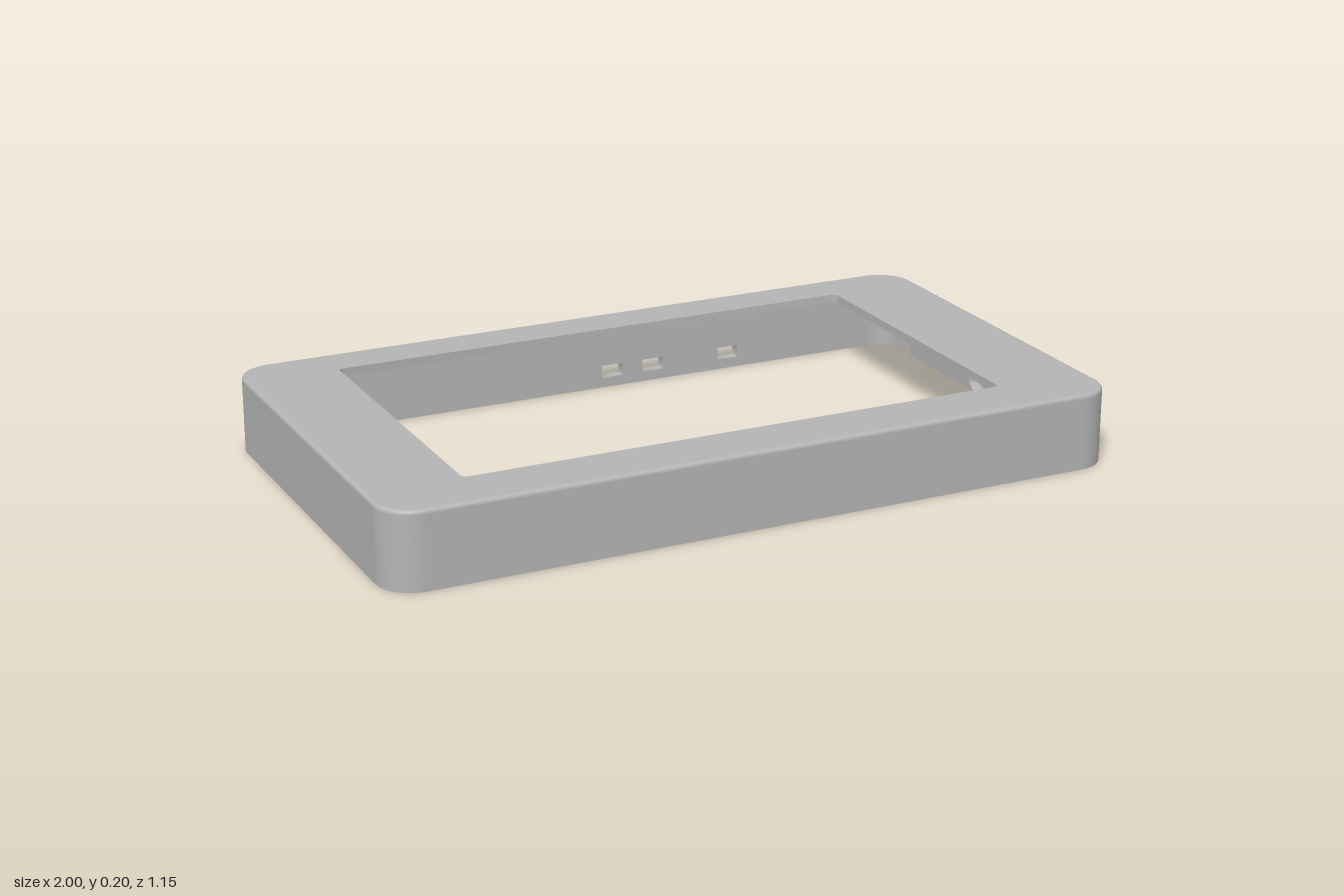
import * as THREE from 'three';
import { toCreasedNormals } from 'three/addons/utils/BufferGeometryUtils.js';

const W = 1, D = 0.575, H = 0.205;      // half width, half depth, height
const R = 0.095, T = 0.03, F = 0.01;    // corner radius, wall thickness, top edge fillet
const PLATE = 0.022;                    // thickness of the top face

// Rounded rectangle between two corners
function roundRect(x0, y0, x1, y1, r, path = new THREE.Shape()) {
  const q = Math.PI / 2;
  path.moveTo(x1, y0 + r);
  path.absarc(x1 - r, y1 - r, r, 0, q);
  path.absarc(x0 + r, y1 - r, r, q, 2 * q);
  path.absarc(x0 + r, y0 + r, r, 2 * q, 3 * q);
  path.absarc(x1 - r, y0 + r, r, 3 * q, 4 * q);
  return path;
}

function extrude(shape, depth) {
  const g = new THREE.ExtrudeGeometry(shape, { depth, bevelEnabled: false, curveSegments: 14 });
  return toCreasedNormals(g, 0.6);
}

// Straight wall outline; an optional round notch opens through its lower edge
function wallShape(half, notch) {
  const s = new THREE.Shape();
  s.moveTo(-half, 0);
  if (notch) {
    const a = Math.asin(notch.y / notch.r);
    s.lineTo(notch.u - notch.r * Math.cos(a), 0);
    s.absarc(notch.u, notch.y, notch.r, Math.PI + a, -a, true);
  }
  s.lineTo(half, 0);
  s.lineTo(half, H - F);
  s.lineTo(-half, H - F);
  s.closePath();
  return s;
}

// Rounded strip joining the outer walls to the top face
function filletGeometry() {
  const steps = 5, pos = [], idx = [];
  let n = 0;
  for (let i = 0; i <= steps; i++) {
    const a = (i / steps) * Math.PI / 2;
    const inset = F * (1 - Math.cos(a)), y = H - F + F * Math.sin(a);
    const pts = roundRect(-W + inset, -D + inset, W - inset, D - inset, R - inset).getPoints(14);
    n = pts.length;
    pts.forEach(p => pos.push(p.x, y, -p.y));
  }
  for (let i = 0; i < steps; i++) {
    for (let j = 0; j < n; j++) {
      const a = i * n + j, b = i * n + (j + 1) % n;
      idx.push(a, b, b + n, a, b + n, a + n);
    }
  }
  const g = new THREE.BufferGeometry();
  g.setAttribute('position', new THREE.Float32BufferAttribute(pos, 3));
  g.setIndex(idx);
  return toCreasedNormals(g, 0.6);
}

export function createModel() {
  const model = new THREE.Group();
  model.name = 'displayCase';
  const grey = new THREE.MeshStandardMaterial({ color: 0xb4b4b4 });
  grey.name = 'grey plastic';
  const add = (name, geometry) => {
    const mesh = new THREE.Mesh(geometry, grey);
    mesh.name = name;
    model.add(mesh);
    return mesh;
  };

  // Top face with the screen window
  const top = roundRect(-W + F, -D + F, W - F, D - F, R - F);
  top.holes.push(roundRect(-0.75, -0.42, 0.74, 0.45, 0.015, new THREE.Path()));
  add('topFace', extrude(top, PLATE).rotateX(-Math.PI / 2).translate(0, H - PLATE, 0));
  add('topEdge', filletGeometry());

  // Side walls: u runs to the right as seen from outside
  const addWall = (name, shape, distance, angle) =>
    add(name, extrude(shape, T).translate(0, 0, distance - T).rotateY(angle));
  addWall('frontWall', wallShape(W - R), D, 0);
  addWall('leftWall', (() => {
    const s = wallShape(D - R, { u: 0.455, y: 0.022, r: 0.045 });
    s.holes.push(roundRect(-0.48, 0.034, -0.29, 0.058, 0.001, new THREE.Path()));  // card slot
    s.holes.push(roundRect(-0.06, 0.003, 0.09, 0.063, 0.029, new THREE.Path()));   // port
    return s;
  })(), W, Math.PI / 2);
  addWall('rightWall', wallShape(D - R), W, -Math.PI / 2);

  // Back wall with three button openings
  const back = wallShape(W - R);
  for (const x of [0.085, 0.21, 0.445]) {
    back.holes.push(roundRect(-x - 0.031, 0.028, -x + 0.031, 0.063, 0.002, new THREE.Path()));
  }
  addWall('backWall', back, D, Math.PI);

  // Rounded vertical corners
  for (const sx of [1, -1]) {
    for (const sz of [1, -1]) {
      const start = Math.atan2(-sz, sx) - Math.PI / 4;
      const s = new THREE.Shape();
      s.absarc(0, 0, R, start, start + Math.PI / 2);
      s.absarc(0, 0, R - T, start + Math.PI / 2, start, true);
      s.closePath();
      add('corner', extrude(s, H - F).rotateX(-Math.PI / 2)
        .translate(sx * (W - R), 0, sz * (D - R)));
    }
  }

  // Small catches along the lower inside of the right wall
  for (const z of [-0.367, -0.007, 0.353]) {
    add('catch', new THREE.BoxGeometry(0.022, 0.014, 0.125))
      .position.set(-W + T + 0.008, 0.008, z);
  }
  return model;
}
